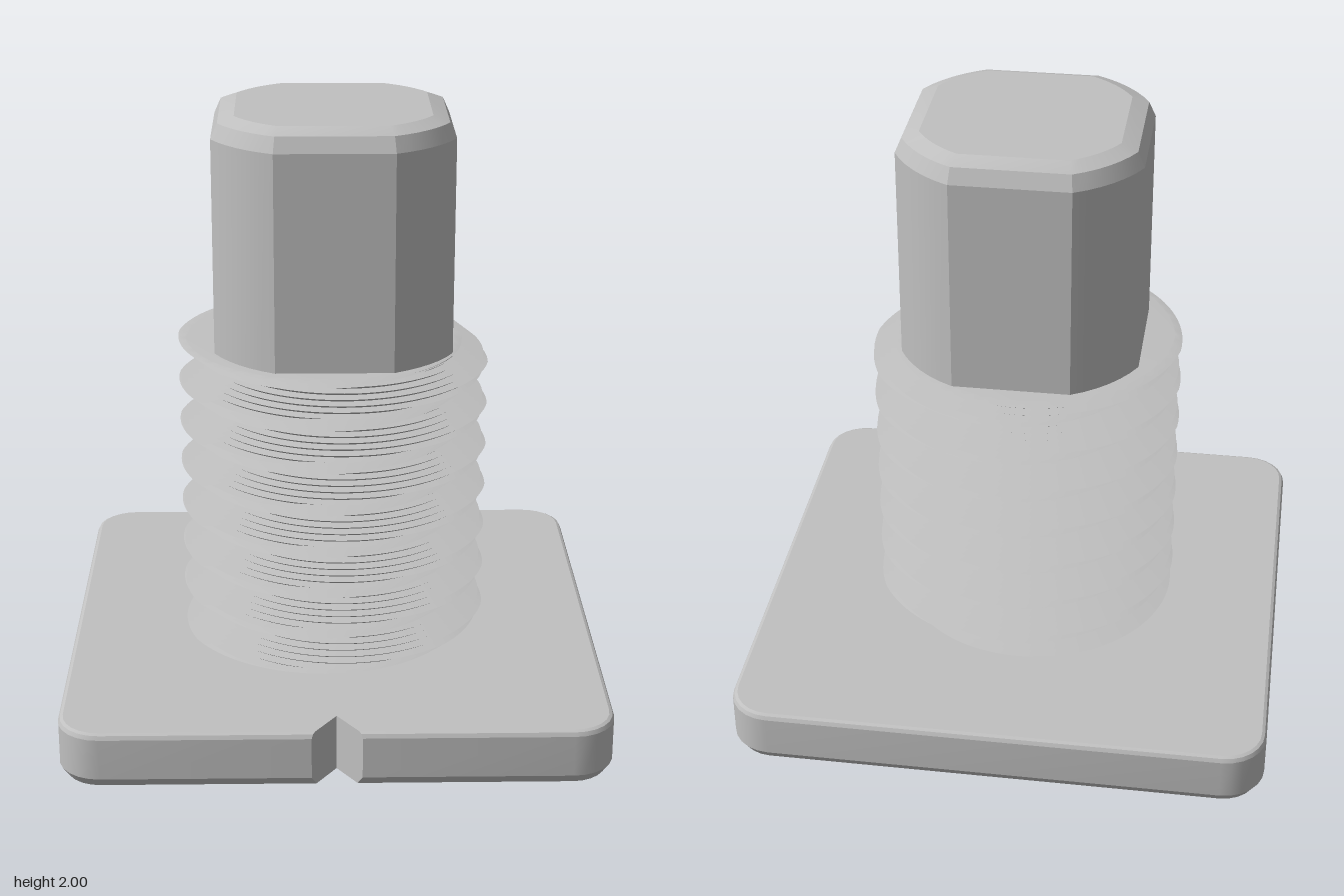
import * as THREE from 'three';
import { toCreasedNormals } from 'three/addons/utils/BufferGeometryUtils.js';

// Joins stacked outlines (counter-clockwise seen from above, v = -z) into a closed solid.
function stack(levels) {
  const n = levels[0].pts.length, pos = [], idx = [];
  for (const { y, pts } of levels) for (const p of pts) pos.push(p.x, y, -p.y);
  for (let k = 0; k < levels.length - 1; k++) {
    for (let i = 0; i < n; i++) {
      const j = (i + 1) % n, a = k * n + i, b = k * n + j;
      idx.push(a, b, b + n, a, b + n, a + n);
    }
  }
  const last = (levels.length - 1) * n;
  for (const [a, b, c] of THREE.ShapeUtils.triangulateShape(levels[0].pts, [])) idx.push(a, c, b);
  for (const [a, b, c] of THREE.ShapeUtils.triangulateShape(levels.at(-1).pts, [])) idx.push(last + a, last + b, last + c);
  const g = new THREE.BufferGeometry();
  g.setAttribute('position', new THREE.Float32BufferAttribute(pos, 3));
  g.setIndex(idx);
  return toCreasedNormals(g, 0.35);
}

// Rounded rectangle with a V notch in the middle of its front edge
function plateOutline(inset) {
  const hx = 0.89 - inset, hz = 0.88 - inset, r = 0.14 - inset, apex = 0.765;
  const w = (hz - apex) * 0.7, pts = [];
  const corners = [[1, -1, -90], [1, 1, 0], [-1, 1, 90], [-1, -1, 180]];
  pts.push(new THREE.Vector2(-w, -hz), new THREE.Vector2(0, -apex), new THREE.Vector2(w, -hz));
  for (const [sx, sy, start] of corners) {
    for (let i = 0; i <= 6; i++) {
      const a = THREE.MathUtils.degToRad(start + i * 15);
      pts.push(new THREE.Vector2(sx * (hx - r) + r * Math.cos(a), sy * (hz - r) + r * Math.sin(a)));
    }
  }
  return pts;
}

// Round bar with four flats
function shankOutline(inset) {
  const h = 0.39 - inset, r = 0.434 - inset, a0 = Math.acos(h / r), pts = [];
  for (let q = 0; q < 4; q++) {
    for (let i = 0; i <= 6; i++) {
      const a = q * Math.PI / 2 + a0 + (Math.PI / 2 - 2 * a0) * i / 6;
      pts.push(new THREE.Vector2(r * Math.cos(a), r * Math.sin(a)));
    }
  }
  return pts;
}

// Slice of a helical thread at height y
function threadOutline(y, inset) {
  const pitch = 0.147, pts = [];
  for (let i = 0; i < 96; i++) {
    const a = i / 96 * Math.PI * 2;
    const turn = (y - 1.14) / pitch - i / 96;
    const d = Math.abs(turn - Math.round(turn)) * 2; // 0 at crest, 1 at root
    const r = 0.522 - 0.09 * d - inset;
    pts.push(new THREE.Vector2(r * Math.cos(a), r * Math.sin(a)));
  }
  return pts;
}

export function createModel() {
  const steel = new THREE.MeshStandardMaterial({ color: 0xc0c0c0 });
  steel.name = 'light grey steel';
  const model = new THREE.Group();
  model.name = 'threadedStud';
  const add = (name, levels) => {
    const mesh = new THREE.Mesh(stack(levels), steel);
    mesh.name = name;
    model.add(mesh);
  };

  // Notched base plate with chamfered rims
  add('basePlate', [[0, 0.022], [0.033, 0], [0.172, 0], [0.185, 0.006], [0.19, 0.016]]
    .map(([y, inset]) => ({ y, pts: plateOutline(inset) })));

  // Thread built from fine ridged layers
  const layers = 70, bottom = 0.185, h = (1.215 - bottom) / layers, rings = [];
  for (let k = 0; k < layers; k++) {
    const y = bottom + k * h;
    rings.push({ y, pts: threadOutline(y, 0.028) });
    rings.push({ y: y + h * 0.7, pts: threadOutline(y + h * 0.7, 0) });
  }
  rings.push({ y: 1.215, pts: threadOutline(1.215, 0.028) });
  add('thread', rings);

  // Flatted shank with a crowned end
  add('shank', [[1.2, 0], [1.93, 0], [1.98, 0.022], [2, 0.075]]
    .map(([y, inset]) => ({ y, pts: shankOutline(inset) })));

  return model;
}
